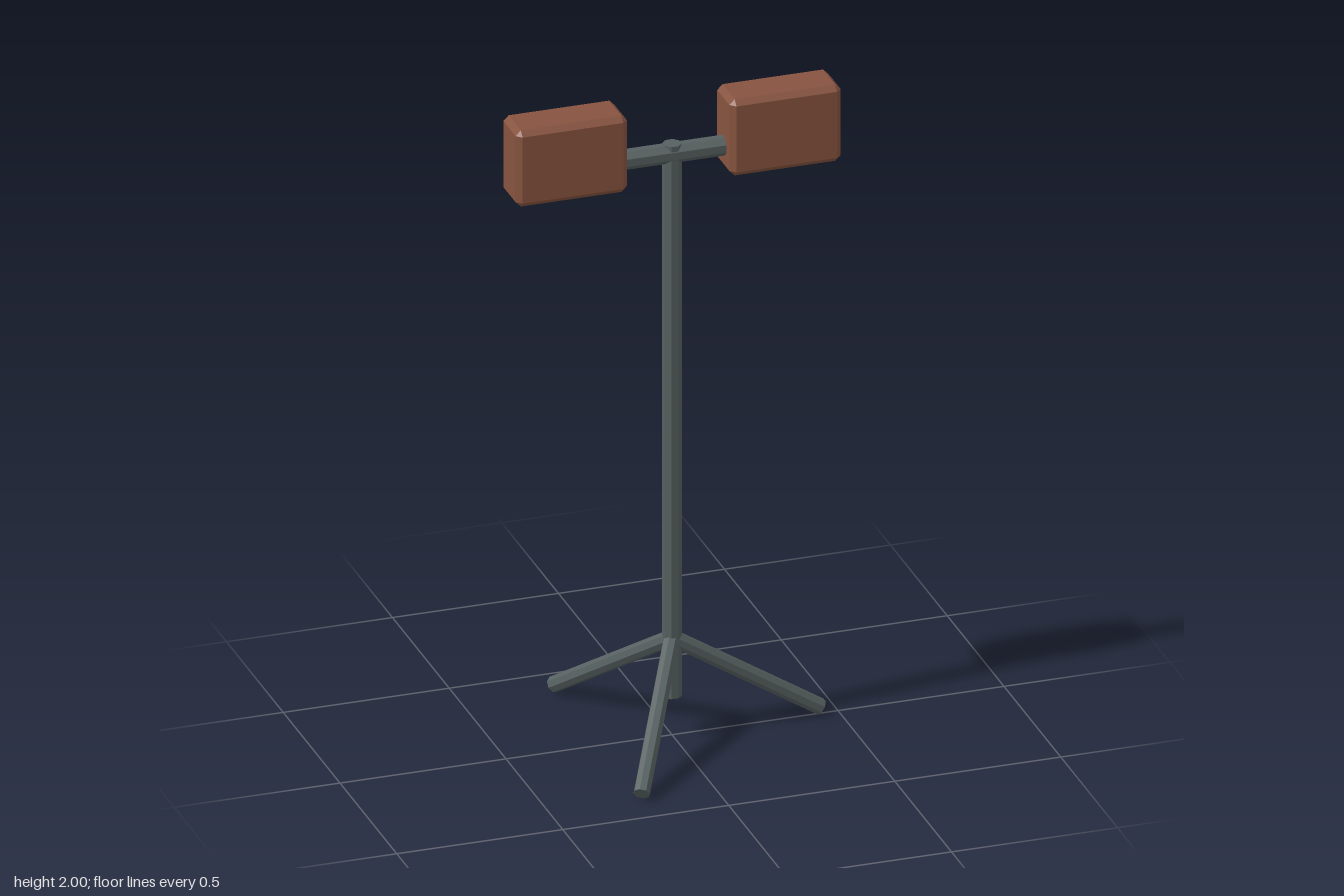
import * as THREE from 'three';
import { ConvexGeometry } from 'three/addons/geometries/ConvexGeometry.js';

// Box with every edge chamfered by c
function chamferBox(w, h, d, c) {
  const points = [];
  for (const sx of [-1, 1]) for (const sy of [-1, 1]) for (const sz of [-1, 1]) {
    const x = sx * w / 2, y = sy * h / 2, z = sz * d / 2;
    points.push(
      new THREE.Vector3(x, y - sy * c, z - sz * c),
      new THREE.Vector3(x - sx * c, y, z - sz * c),
      new THREE.Vector3(x - sx * c, y - sy * c, z));
  }
  return new ConvexGeometry(points);
}

export function createModel() {
  const metal = new THREE.MeshStandardMaterial({ color: 0x566060, flatShading: true });
  metal.name = 'dark grey metal';
  const housing = new THREE.MeshStandardMaterial({ color: 0x87533f, flatShading: true });
  housing.name = 'rust brown housing';
  const glass = new THREE.MeshStandardMaterial({ color: 0xaea88e, flatShading: true });
  glass.name = 'pale lamp glass';

  const model = new THREE.Group();
  model.name = 'floodlightStand';

  // Eight-sided rod between two points
  const rod = (name, a, b, radius) => {
    const from = new THREE.Vector3(...a), to = new THREE.Vector3(...b);
    const dir = to.clone().sub(from);
    const geometry = new THREE.CylinderGeometry(radius, radius, dir.length(), 8);
    geometry.rotateY(Math.PI / 8);
    const mesh = new THREE.Mesh(geometry, metal);
    mesh.name = name;
    mesh.position.copy(from).add(to).multiplyScalar(0.5);
    mesh.quaternion.setFromUnitVectors(new THREE.Vector3(0, 1, 0), dir.normalize());
    model.add(mesh);
  };

  // Pole and crossbar
  rod('pole', [0, 0.125, 0], [0, 1.864, 0], 0.028);
  rod('crossbar', [-0.2, 1.834, 0], [0.2, 1.834, 0], 0.03);

  // Three splayed legs
  for (let i = 0; i < 3; i++) {
    const a = i * Math.PI * 2 / 3;
    rod('leg' + (i + 1), [0, 0.307, 0], [0.448 * Math.cos(a), 0.021, 0.448 * Math.sin(a)], 0.0245);
  }

  // Two lamps, shining to the back
  for (const side of [-1, 1]) {
    const lamp = new THREE.Group();
    lamp.name = side > 0 ? 'leftLamp' : 'rightLamp';
    lamp.position.set(side * 0.322, 1.88, 0);
    const body = new THREE.Mesh(chamferBox(0.335, 0.24, 0.139, 0.016), housing);
    body.name = 'lampHousing';
    const pane = new THREE.Mesh(chamferBox(0.262, 0.162, 0.0095, 0.004), glass);
    pane.name = 'lampGlass';
    pane.position.z = -0.0782;
    lamp.add(body, pane);
    model.add(lamp);
  }
  return model;
}
